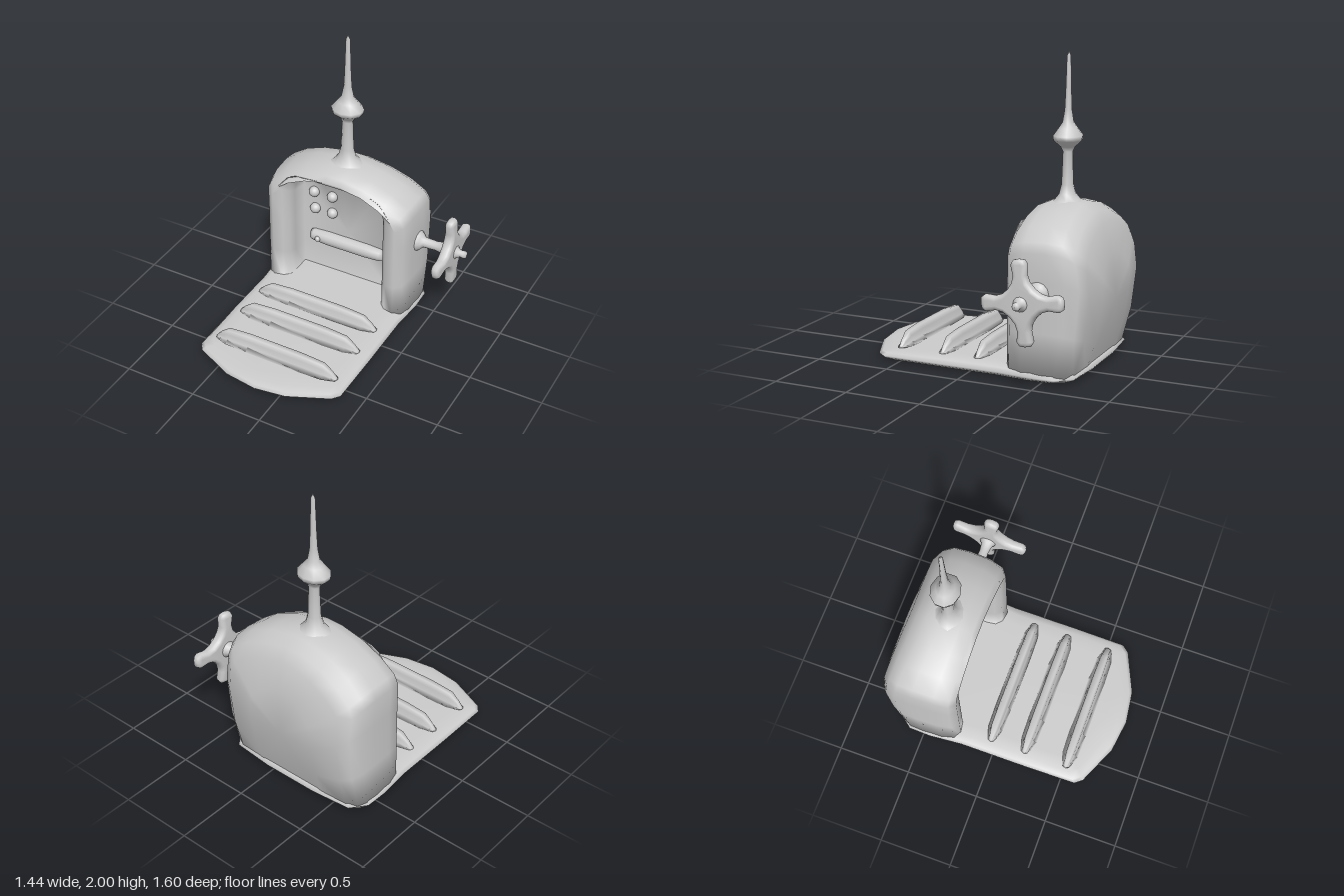
import * as THREE from 'three';
import { mergeVertices } from 'three/addons/utils/BufferGeometryUtils.js';

const CX = -0.165; // centre line of the housing
const material = new THREE.MeshStandardMaterial({ color: 0xcccccc });

function part(name, geometry, parent, x = 0, y = 0, z = 0) {
  const mesh = new THREE.Mesh(geometry, material);
  mesh.name = name;
  mesh.position.set(x, y, z);
  parent.add(mesh);
  return mesh;
}

// Skin equal-length closed loops (counter-clockwise about the travel direction), capped at both ends
function loft(loops, startCentre, endCentre) {
  const n = loops[0].length, index = [];
  const points = [...loops.flat(), startCentre, endCentre];
  const s = points.length - 2, e = s + 1, last = (loops.length - 1) * n;
  for (let j = 0; j < n; j++) {
    const k = (j + 1) % n;
    for (let i = 0; i < loops.length - 1; i++) {
      const a = i * n + j, b = i * n + k;
      index.push(a, b, b + n, a, b + n, a + n);
    }
    index.push(s, k, j, e, last + j, last + k);
  }
  const g = new THREE.BufferGeometry();
  g.setAttribute('position', new THREE.Float32BufferAttribute(points.flat(), 3));
  g.setIndex(index);
  g.computeVertexNormals();
  return g;
}

// Linear lookup in a list of [key, value]
function lookup(table, key) {
  for (let i = 1; i < table.length; i++) {
    const [k0, v0] = table[i - 1], [k1, v1] = table[i];
    if (key <= k1) return v0 + (v1 - v0) * Math.max(0, (key - k0) / (k1 - k0));
  }
  return table[table.length - 1][1];
}

function lathe(points, sides) {
  return new THREE.LatheGeometry(points.map(([r, y]) => new THREE.Vector2(r, y)), sides);
}

// Arched housing: recess back -> front rim -> outer shell -> bulging back
function housingGeometry() {
  const outer = [[1, 0.02], [1, 0.3], [1, 0.6], [1, 0.77], [0.94, 0.83], [0.73, 0.905], [0.45, 0.965], [0.12, 1]];
  const inner = [[1, 0.02], [1, 0.3], [1, 0.6], [1, 0.85], [0.95, 0.93], [0.87, 0.97], [0.72, 1], [0.2, 1]];
  const back = [[0, -0.68], [0.05, -0.72], [0.25, -0.76], [0.45, -0.795], [0.6, -0.8], [0.88, -0.75], [1.06, -0.69]];
  const arch = (half, w, top, depth) => {
    const right = half.map(([x, y]) => [w * x, top * y, depth(top * y)]);
    const left = right.map(([x, y, z]) => [-x, y, z]);
    return [...left, ...right.reverse()].map(([x, y, z]) => [CX + x, y, z]);
  };
  const recess = [[0.35, 0.87, -0.49], [0.35, 0.9, -0.36], [0.358, 0.93, -0.3], [0.395, 0.96, -0.262]];
  const shell = [[0.465, 0.985, 0], [0.515, 1.02, 0.07], [0.535, 1.055, 0.26], [0.54, 1.065, 0.55],
    [0.535, 1.05, 0.76], [0.505, 1.0, 0.89], [0.44, 0.93, 0.97], [0.25, 0.75, 1]];
  return loft([
    ...recess.map(([w, top, z]) => arch(inner, w, top, () => z)),
    ...shell.map(([w, top, t]) => arch(outer, w, top, (y) => -0.25 + t * (lookup(back, y) + 0.25))),
  ], [CX, 0.45, -0.49], [CX, 0.45, -0.8]);
}

// Floor slab with soft edges and a bowed front
function slabGeometry() {
  const half = [[0.22, 0.77], [0.49, 0.65], [0.53, 0.6], [0.535, 0.2], [0.535, -0.22], [0.555, -0.45], [0.55, -0.6], [0.47, -0.7], [0.2, -0.725]];
  const outline = [[0, 0.8], ...half, ...half.map(([x, z]) => [-x, z]).reverse()];
  const ring = (inset, y, slope) => outline.map(([x, z]) => [
    CX + x - Math.sign(x) * Math.min(inset, Math.abs(x)), y - (z > 0.55 ? slope : 0), z - Math.sign(z) * Math.min(inset, Math.abs(z) * 0.3)]);
  return loft([ring(0.12, 0, 0), ring(0.05, 0.003, 0), ring(0.01, 0.025, 0), ring(0, 0.04, 0), ring(0.018, 0.065, 0.01),
    ring(0.06, 0.08, 0.015), ring(0.14, 0.083, 0.008)], [CX, 0, 0], [CX, 0.085, 0]);
}

// Tapered tread rib running across the slab
function ribGeometry() {
  const section = [[0.06, 0], [0.034, 0.025], [0.03, 0.07], [0.018, 0.1], [-0.018, 0.1], [-0.03, 0.07], [-0.034, 0.025], [-0.06, 0]];
  const left = [[-0.45, 0.15], [-0.42, 0.45], [-0.36, 0.88], [-0.2, 1]];
  const spans = [...left, ...left.map(([x, s]) => [-x, s]).reverse()];
  // section runs from +z over the top to -z, so reverse it to face outwards
  const loops = spans.map(([x, s]) => section.map(([z, y]) => [x, y * s, z * (0.3 + 0.7 * s)]).reverse());
  return loft(loops, [-0.46, 0, 0], [0.46, 0, 0]);
}

// Four-armed crank wheel, thinner towards the arm tips
function wheelGeometry() {
  const arm = [[0.085, -0.085], [0.125, -0.055], [0.17, -0.043], [0.235, -0.053], [0.262, -0.035],
    [0.267, 0], [0.262, 0.035], [0.235, 0.053], [0.17, 0.043], [0.125, 0.055]];
  const points = [];
  for (let i = 0; i < 4; i++) {
    const c = Math.round(Math.cos(i * Math.PI / 2)), s = Math.round(Math.sin(i * Math.PI / 2));
    for (const [x, y] of arm) points.push(new THREE.Vector2(c * x - s * y, s * x + c * y));
  }
  let g = new THREE.ExtrudeGeometry(new THREE.Shape(points), {
    depth: 0.016, bevelThickness: 0.032, bevelSize: 0.028, bevelOffset: -0.028, bevelSegments: 4, curveSegments: 1,
  });
  g.translate(0, 0, -0.008);
  const p = g.attributes.position;
  for (let i = 0; i < p.count; i++) {
    p.setZ(i, p.getZ(i) * (1.08 - 1.2 * Math.hypot(p.getX(i), p.getY(i))));
  }
  g.deleteAttribute('uv');
  g.deleteAttribute('normal');
  g = mergeVertices(g, 1e-4);
  g.computeVertexNormals();
  return g;
}

export function createModel() {
  const model = new THREE.Group();
  model.name = 'archedMachine';

  part('housing', housingGeometry(), model);
  part('floorSlab', slabGeometry(), model);
  const rib = ribGeometry();
  for (const z of [-0.035, 0.21, 0.51]) part('treadRib', rib, model, CX, 0.08, z);

  // Spire with bulb
  const spire = part('spire', lathe([[0.17, 1.02], [0.1, 1.06], [0.063, 1.1], [0.046, 1.16], [0.042, 1.25], [0.038, 1.37],
    [0.055, 1.4], [0.107, 1.44], [0.113, 1.47], [0.07, 1.52], [0.043, 1.555], [0.028, 1.63], [0.022, 1.75],
    [0.015, 1.97], [0, 2]], 10), model, -0.163, 0, -0.46);
  spire.scale.z = 0.85;

  // Crank on the left side
  const crank = new THREE.Group();
  crank.name = 'crank';
  crank.position.set(0, 0.572, -0.487);
  model.add(crank);
  const axle = part('crankAxle', lathe([[0.078, 0.33], [0.075, 0.37], [0.055, 0.395], [0.036, 0.415], [0.032, 0.5], [0.04, 0.55],
    [0.065, 0.585], [0.065, 0.635], [0.035, 0.655], [0.024, 0.68], [0.027, 0.705], [0.02, 0.72], [0, 0.722]], 12), crank);
  axle.rotation.z = -Math.PI / 2;
  const wheel = part('crankWheel', wheelGeometry(), crank, 0.61);
  wheel.rotation.set(0.09, Math.PI / 2, 0, 'XYZ');

  // Control panel inside the recess
  const ball = new THREE.SphereGeometry(0.038, 16, 12);
  for (const [x, y] of [[-0.43, 0.71], [-0.288, 0.71], [-0.422, 0.575], [-0.288, 0.575]]) {
    part('button', ball, model, x, y, -0.48);
  }
  const bar = part('panelBar', lathe([[0, -0.282], [0.036, -0.282], [0.044, -0.26], [0.051, -0.15], [0.051, 0.15],
    [0.044, 0.26], [0.036, 0.282], [0, 0.282]], 16), model, -0.168, 0.35, -0.48);
  bar.rotation.z = Math.PI / 2;
  part('barStud', new THREE.SphereGeometry(0.02, 12, 8), model, -0.382, 0.35, -0.433);

  return model;
}
